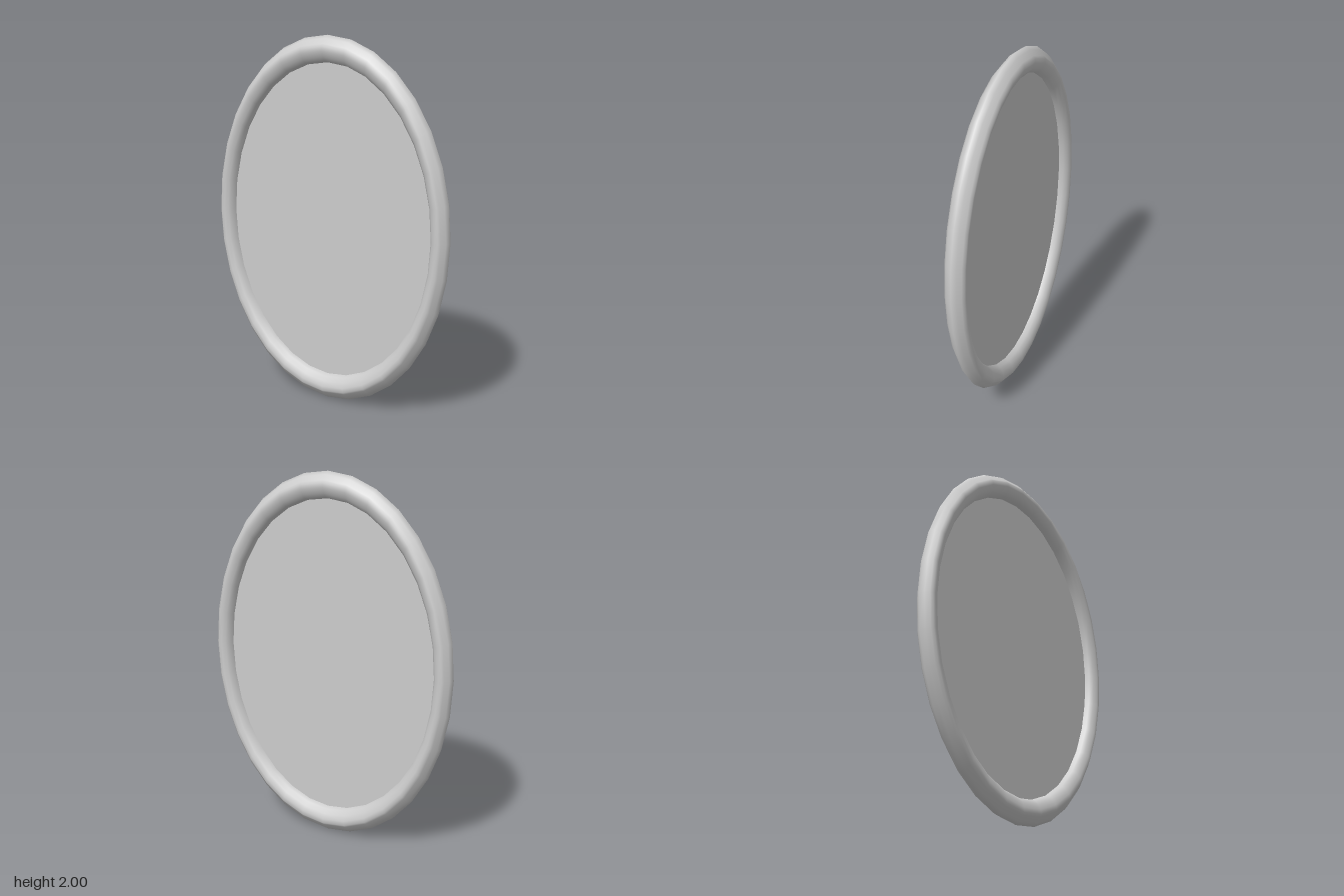
import * as THREE from 'three';

const SEGMENTS = 32;
const WIDTH = 0.742; // half width of the oval, half height is 1
const INNER = 0.86;  // inner radius of the rim before the oval squash

export function createModel() {
  const group = new THREE.Group();
  group.name = 'ovalMirror';

  // Rim: half of the moulding section (radius, depth), from inner to outer edge
  const half = [
    [0.868, 0.025], [0.89, 0.044], [0.92, 0.054], [0.944, 0.055],
    [0.957, 0.043], [0.984, 0.024],
  ];
  const section = [
    [INNER, 0],
    ...half.map(([r, d]) => [r, -d]),
    [1, 0],
    ...half.slice().reverse(),
    [INNER, 0],
  ].map(([r, d]) => new THREE.Vector2(r, d));
  const rimGeometry = new THREE.LatheGeometry(section, SEGMENTS);
  rimGeometry.rotateX(Math.PI / 2);
  rimGeometry.scale(WIDTH, 1, 1);
  const rim = new THREE.Mesh(rimGeometry, new THREE.MeshStandardMaterial({ color: 0xcccccc }));
  rim.name = 'rim';

  // Thin pane set in the middle of the rim's depth
  const paneGeometry = new THREE.CircleGeometry(INNER + 0.01, SEGMENTS);
  paneGeometry.scale(WIDTH, 1, 1);
  const pane = new THREE.Mesh(
    paneGeometry,
    new THREE.MeshStandardMaterial({ color: 0xcccccc, side: THREE.DoubleSide })
  );
  pane.name = 'pane';

  rim.position.y = pane.position.y = 1;
  group.add(rim, pane);
  return group;
}
